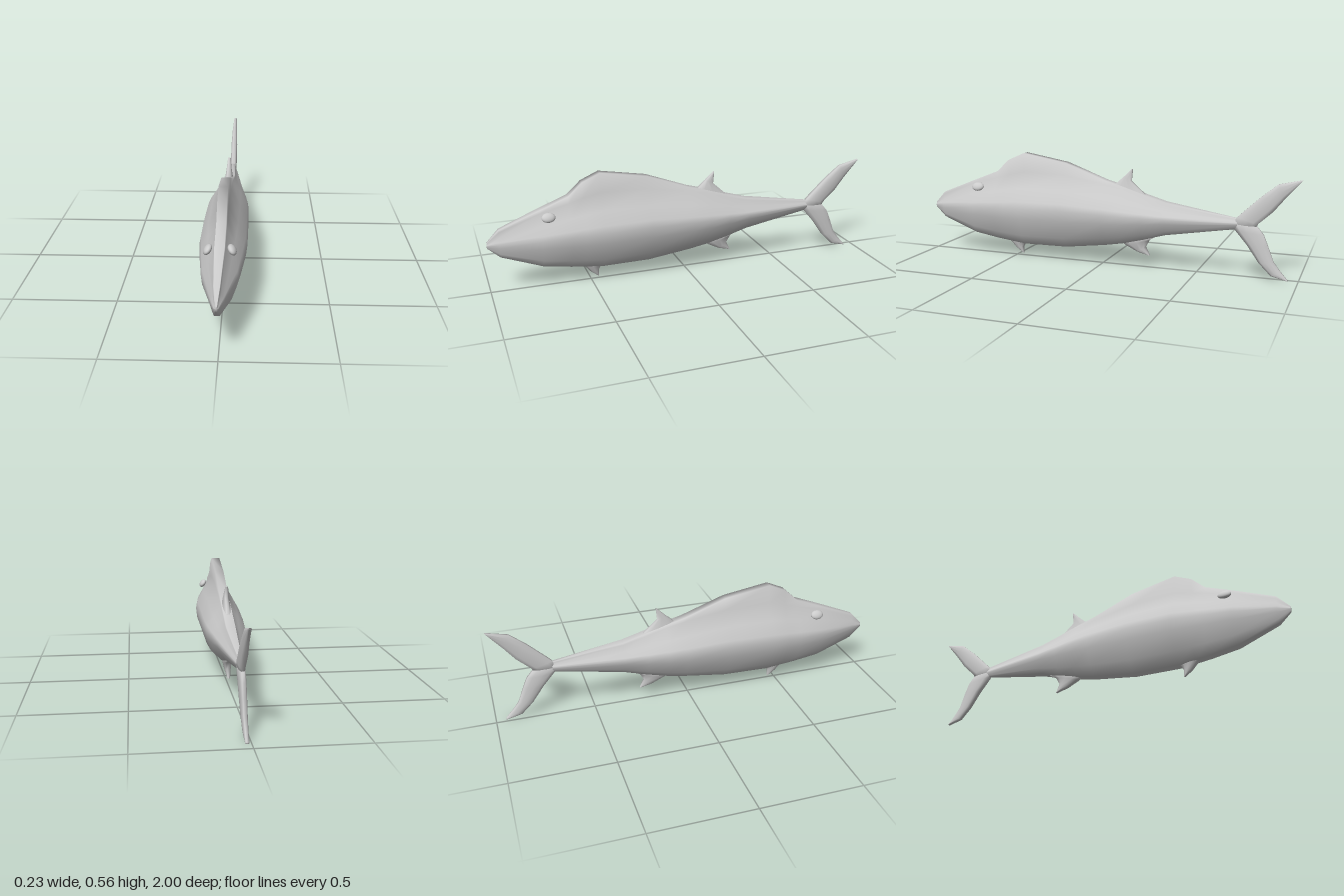
import * as THREE from 'three';

const grey = new THREE.MeshStandardMaterial({ color: 0xcccccc });

// Skin a list of closed rings (arrays of Vector3) and cap both ends
function loft(name, rings) {
  const n = rings[0].length, pos = [], idx = [];
  rings.forEach(r => r.forEach(p => pos.push(p.x, p.y, p.z)));
  for (let i = 0; i < rings.length - 1; i++) {
    for (let j = 0; j < n; j++) {
      const a = i * n + j, b = i * n + (j + 1) % n;
      idx.push(a, b, a + n, b, b + n, a + n);
    }
  }
  [0, rings.length - 1].forEach((r, end) => {
    const c = rings[r].reduce((s, p) => s.add(p), new THREE.Vector3()).divideScalar(n);
    const k = pos.length / 3;
    pos.push(c.x, c.y, c.z);
    for (let j = 0; j < n; j++) {
      const a = r * n + j, b = r * n + (j + 1) % n;
      if (end) idx.push(a, b, k); else idx.push(b, a, k);
    }
  });
  // Turn the faces outward when the enclosed volume comes out negative
  const at = i => new THREE.Vector3().fromArray(pos, i * 3);
  let volume = 0;
  for (let i = 0; i < idx.length; i += 3) volume += at(idx[i]).dot(at(idx[i + 1]).cross(at(idx[i + 2])));
  if (volume < 0) idx.reverse();
  const g = new THREE.BufferGeometry();
  g.setAttribute('position', new THREE.Float32BufferAttribute(pos, 3));
  g.setIndex(idx);
  g.computeVertexNormals();
  const mesh = new THREE.Mesh(g, grey);
  mesh.name = name;
  return mesh;
}

// The spine drifts slightly to the left towards the tail
const spineX = z => 0.006 - 0.013 * z;

// Body stations: z, crest, shoulder, middle, belly, half width
const stations = [
  [1.0, 0.258, 0.254, 0.245, 0.230, 0.010],
  [0.94, 0.32, 0.308, 0.25, 0.18, 0.03],
  [0.74, 0.40, 0.385, 0.26, 0.11, 0.081],
  [0.60, 0.455, 0.42, 0.267, 0.088, 0.097],
  [0.53, 0.52, 0.44, 0.27, 0.08, 0.103],
  [0.44, 0.56, 0.46, 0.275, 0.07, 0.112],
  [0.20, 0.52, 0.455, 0.28, 0.074, 0.111],
  [-0.02, 0.44, 0.42, 0.275, 0.103, 0.107],
  [-0.115, 0.415, 0.40, 0.272, 0.12, 0.099],
  [-0.225, 0.38, 0.368, 0.27, 0.148, 0.083],
  [-0.34, 0.347, 0.338, 0.268, 0.182, 0.066],
  [-0.70, 0.292, 0.288, 0.266, 0.24, 0.017],
];

function bodyRing([z, crest, shoulder, mid, belly, w]) {
  const edge = Math.min(0.022, w * 0.45), keel = Math.min(0.024, w * 0.4);
  const up = f => mid + (shoulder - mid) * f, down = f => mid + (belly - mid) * f;
  const half = [
    [edge, crest], [edge * 1.1, up(1)], [w * 0.62, up(0.56)], [w * 0.93, up(0.2)],
    [w, mid], [w * 0.94, down(0.27)], [w * 0.64, down(0.74)], [keel, belly],
  ];
  const other = half.map(([x, y]) => [-x, y]).reverse();
  return [...half, ...other].map(([x, y]) => new THREE.Vector3(spineX(z) + x, y, z));
}

// Fin rows: leading z, y, trailing z, y, half thickness
const fins = {
  secondDorsalFin: [
    [-0.04, 0.38, -0.28, 0.34, 0.03], [-0.07, 0.423, -0.225, 0.382, 0.02],
    [-0.115, 0.463, -0.156, 0.443, 0.013], [-0.158, 0.505, -0.162, 0.503, 0.007],
  ],
  pelvicFin: [
    [0.57, 0.11, 0.40, 0.10, 0.03], [0.535, 0.08, 0.45, 0.067, 0.022],
    [0.50, 0.04, 0.46, 0.048, 0.014], [0.467, 0.015, 0.459, 0.013, 0.007],
  ],
  analFin: [
    [-0.07, 0.15, -0.33, 0.19, 0.03], [-0.13, 0.11, -0.255, 0.145, 0.021],
    [-0.19, 0.08, -0.235, 0.108, 0.014], [-0.25, 0.064, -0.257, 0.064, 0.007],
  ],
  upperTailLobe: [
    [-0.67, 0.262, -0.79, 0.25, 0.016], [-0.70, 0.30, -0.80, 0.272, 0.018],
    [-0.81, 0.405, -0.87, 0.337, 0.017], [-0.89, 0.47, -0.92, 0.40, 0.013],
    [-1.0, 0.496, -0.994, 0.486, 0.008],
  ],
  lowerTailLobe: [
    [-0.67, 0.27, -0.79, 0.265, 0.016], [-0.69, 0.235, -0.828, 0.22, 0.018],
    [-0.75, 0.165, -0.851, 0.165, 0.017], [-0.81, 0.08, -0.88, 0.09, 0.015],
    [-0.87, 0.02, -0.915, 0.045, 0.012], [-0.95, 0.0, -0.948, 0.008, 0.009],
  ],
};

// Lens-shaped cross-section with blunt edges: chord fraction, thickness fraction
const lens = [[0, 0.5], [0.2, 0.95], [0.5, 1], [0.8, 0.8], [1, 0.4]];
const lensLoop = [...lens, ...lens.map(([u, t]) => [u, -t]).reverse()];

function finRing([z0, y0, z1, y1, t]) {
  return lensLoop.map(([u, s]) => {
    const z = THREE.MathUtils.lerp(z0, z1, u);
    return new THREE.Vector3(spineX(z) + s * t, THREE.MathUtils.lerp(y0, y1, u), z);
  });
}

export function createModel() {
  const model = new THREE.Group();
  model.name = 'fish';

  // Body with the long first dorsal fin flowing out of its back
  model.add(loft('body', stations.map(bodyRing)));

  for (const [name, rows] of Object.entries(fins)) model.add(loft(name, rows.map(finRing)));

  // Eyes: flattened domes lying on the slope of the head
  for (const side of [1, -1]) {
    const eye = new THREE.Mesh(new THREE.SphereGeometry(1, 20, 14), grey);
    eye.name = side > 0 ? 'leftEye' : 'rightEye';
    eye.scale.set(0.016, 0.025, 0.034);
    eye.rotation.z = side * 0.65;
    eye.position.set(-0.004 + side * 0.053, 0.37, 0.705);
    model.add(eye);
  }
  return model;
}
